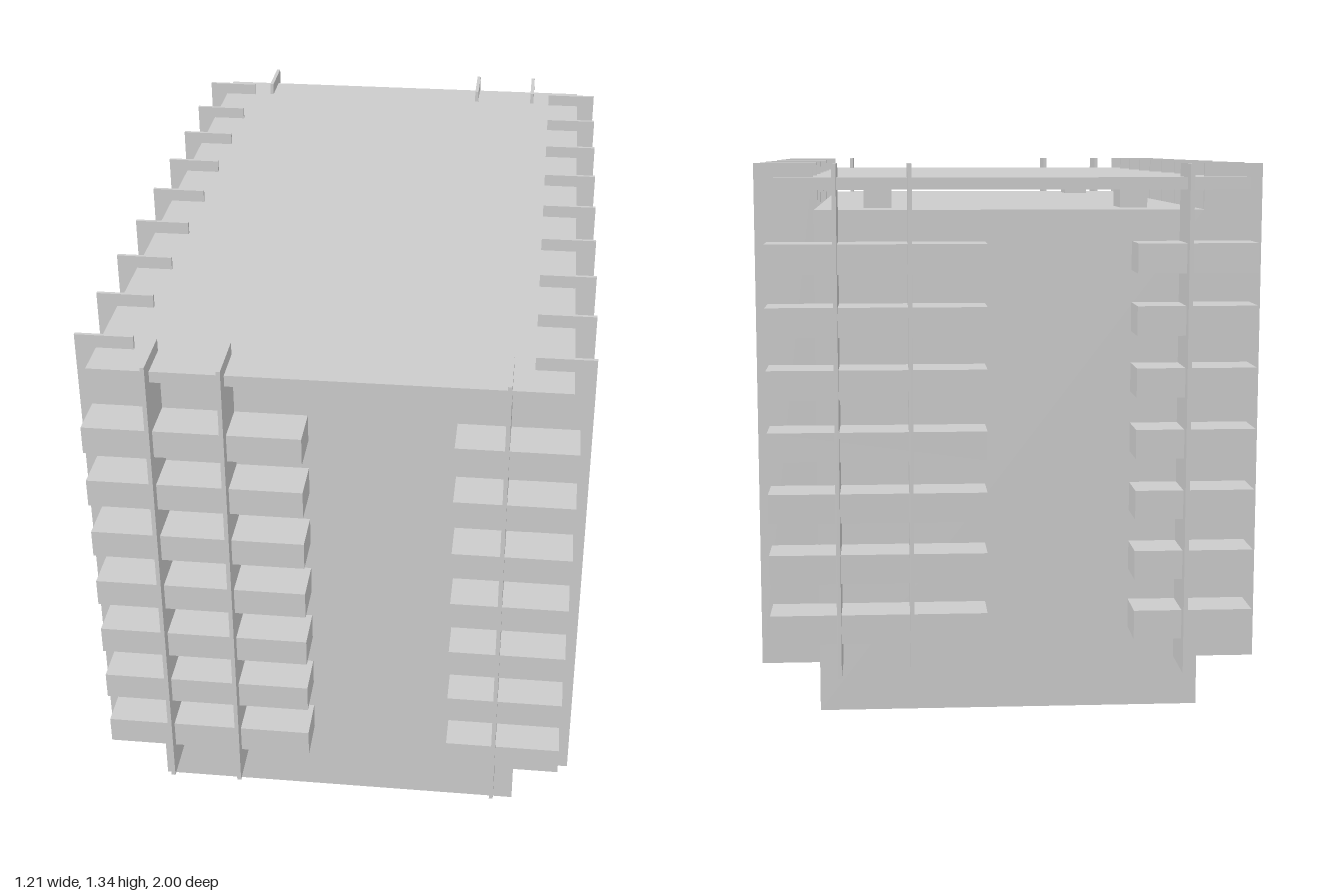
import * as THREE from 'three';

const material = new THREE.MeshStandardMaterial({ color: 0xcccccc, flatShading: true });

// Box given by its lower and upper corners
function box(name, [x0, y0, z0], [x1, y1, z1]) {
  const geometry = new THREE.BoxGeometry(x1 - x0, y1 - y0, z1 - z0);
  geometry.translate((x0 + x1) / 2, (y0 + y1) / 2, (z0 + z1) / 2);
  const mesh = new THREE.Mesh(geometry, material);
  mesh.name = name;
  return mesh;
}

const CORE_X = 0.465, CORE_Z = 0.86;     // half size of the core
const BAND_X = 0.577, BAND_Z = 0.97;     // outer faces of the balcony bands
const FIN_X = 0.605, FIN_Z = 1.0;        // outer edges of the fins
const FIN_Y0 = 0.122, FIN_Y1 = 1.335;
const FLOORS = 7, BAND_Y = 0.2, FLOOR_STEP = 0.1467, BAND_H = 0.07;

// C-shaped plan of a balcony band along the -x side, wrapping both corners
function bandGeometry() {
  const plan = [
    [-0.06, -BAND_Z], [-0.06, -CORE_Z], [-CORE_X, -CORE_Z], [-CORE_X, CORE_Z],
    [-0.292, CORE_Z], [-0.292, BAND_Z], [-BAND_X, BAND_Z], [-BAND_X, -BAND_Z],
  ].map(([x, y]) => new THREE.Vector2(x, y)); // plan y becomes -z
  const geometry = new THREE.ExtrudeGeometry(new THREE.Shape(plan), { depth: BAND_H, bevelEnabled: false });
  return geometry.rotateX(-Math.PI / 2);
}

// One half of the facade: a long side plus the front fins
function facadeHalf(name, bandShape) {
  const half = new THREE.Group();
  half.name = name;
  for (let i = 0; i < FLOORS; i++) {
    const band = new THREE.Mesh(bandShape, material);
    band.name = 'balconyBand';
    band.position.y = BAND_Y + i * FLOOR_STEP;
    half.add(band);
  }
  // Fins along the long side
  for (let i = -4; i <= 4; i++) {
    const z = i * 0.2137;
    half.add(box('sideFin', [-FIN_X, FIN_Y0, z - 0.0045], [-CORE_X, FIN_Y1, z + 0.0045]));
  }
  // Fins on the short side
  for (const x of [-0.413, -0.24, 0.412]) {
    half.add(box('endFin', [x - 0.005, FIN_Y0, CORE_Z], [x + 0.005, FIN_Y1, FIN_Z]));
  }
  return half;
}

export function createModel() {
  const model = new THREE.Group();
  model.name = 'apartmentBlock';

  model.add(box('core', [-CORE_X, 0, -CORE_Z], [CORE_X, 1.225, CORE_Z]));
  model.add(box('roofSlab', [-0.555, 1.275, -0.96], [0.555, 1.303, 0.96]));

  // Short posts carrying the roof slab
  for (const x of [-0.315, 0.315]) {
    for (const z of [-0.66, 0.66]) {
      model.add(box('roofPost', [x - 0.034, 1.225, z - 0.06], [x + 0.034, 1.275, z + 0.06]));
    }
  }

  // The second half is the first turned half way round
  const bandShape = bandGeometry();
  const turned = facadeHalf('leftFacade', bandShape);
  turned.rotation.y = Math.PI;
  model.add(facadeHalf('rightFacade', bandShape), turned);
  return model;
}
